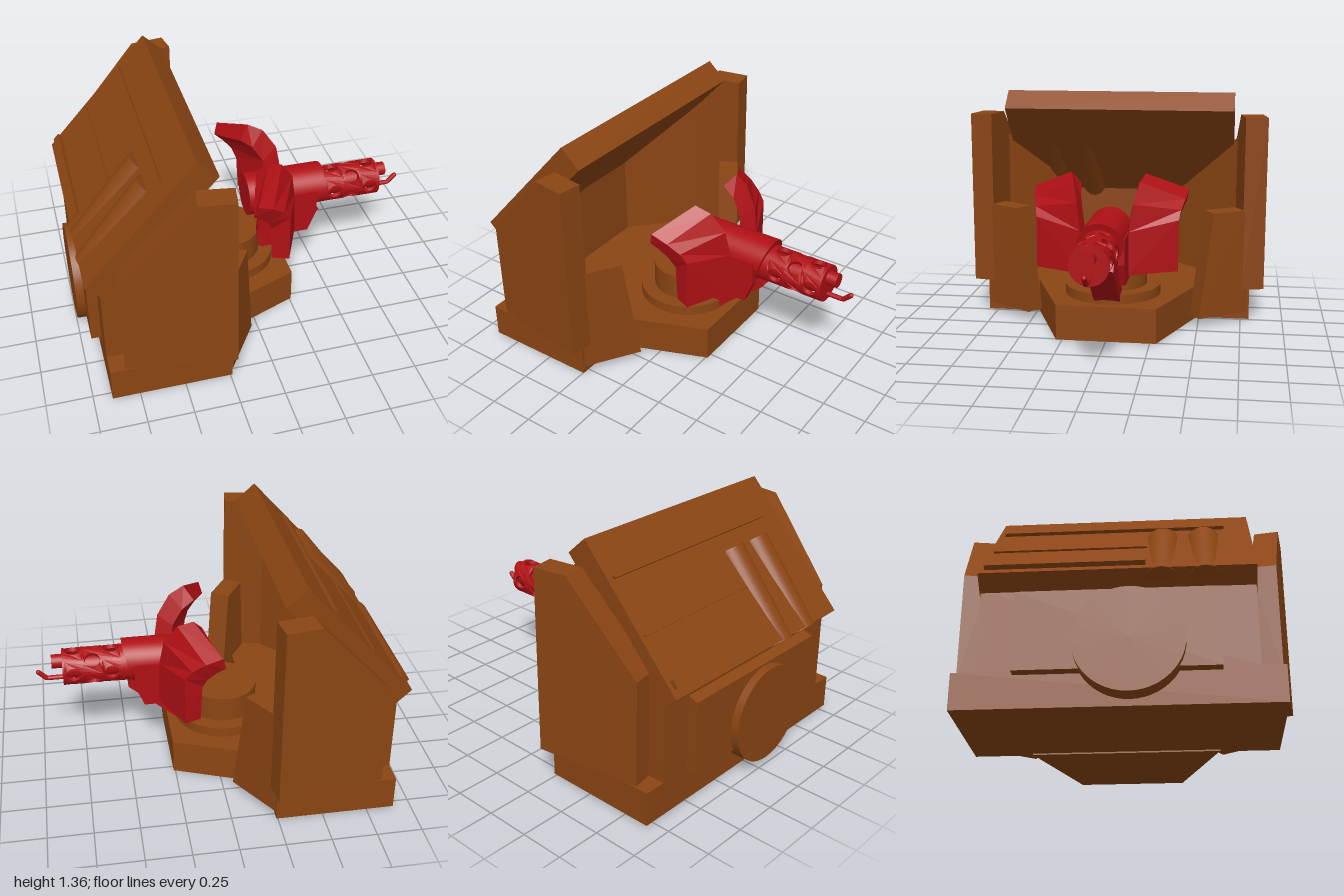
import * as THREE from 'three';
import { mergeGeometries } from 'three/addons/utils/BufferGeometryUtils.js';

const brown = new THREE.MeshStandardMaterial({ color: 0x8b4513 });
const red = new THREE.MeshStandardMaterial({ color: 0xb01015 });

// Flat-faced solid through rings of [x, y, z] corners, closed at both ends
function loft(rings) {
  const tris = [], n = rings[0].length, last = rings[rings.length - 1];
  for (let r = 0; r < rings.length - 1; r++) {
    for (let i = 0; i < n; i++) {
      const j = (i + 1) % n, a = rings[r], b = rings[r + 1];
      tris.push([a[i], a[j], b[j]], [a[i], b[j], b[i]]);
    }
  }
  for (let i = 1; i < n - 1; i++) {
    tris.push([rings[0][0], rings[0][i + 1], rings[0][i]], [last[0], last[i], last[i + 1]]);
  }
  // turn the faces outward if the enclosed volume is negative
  const v = (p) => new THREE.Vector3(...p);
  const c = v(rings[0][0]);
  const volume = tris.reduce((s, [p, q, k]) =>
    s + v(p).sub(c).dot(v(q).sub(c).cross(v(k).sub(c))), 0);
  if (volume < 0) tris.forEach((t) => t.reverse());
  const g = new THREE.BufferGeometry();
  g.setAttribute('position', new THREE.Float32BufferAttribute(tris.flat(2), 3));
  g.computeVertexNormals();
  return g;
}

const mirrorZ = (rings, s) => rings.map((r) => r.map(([x, y, z]) => [x, y, z * s]));
// Side profile (x, y) swept across z, and floor plan (x, z) raised in y
const sideways = (pts, z0, z1) => loft([z0, z1].map((z) => pts.map(([x, y]) => [x, y, z])));
const upright = (pts, y0, y1) => loft([y0, y1].map((y) => pts.map(([x, z]) => [x, y, z])));

// Cylinder along x
function rodX(r, x0, x1, y, z = 0, seg = 32) {
  return new THREE.CylinderGeometry(r, r, x1 - x0, seg).rotateZ(-Math.PI / 2)
    .translate((x0 + x1) / 2, y, z);
}

// Perforated sleeve: flat pierced cells bent around the x axis
function sleeve(radius, x0, x1, rows) {
  const cells = [], len = (x1 - x0) / rows, step = Math.PI / 2, w = radius * step, n = 8;
  for (let row = 0; row < rows; row++) {
    for (let k = 0; k < 4; k++) {
      const s = new THREE.Shape();
      s.moveTo(-len / 2, -w / 2);
      s.lineTo(len / 2, -w / 2);
      for (let i = 1; i <= n; i++) s.lineTo(len / 2, -w / 2 + (w * i) / n);
      for (let i = 0; i < n; i++) s.lineTo(-len / 2, w / 2 - (w * i) / n);
      s.holes.push(new THREE.Path().absarc(0, 0, 0.042, 0, Math.PI * 2, true));
      const g = new THREE.ExtrudeGeometry(s, { depth: 0.022, bevelEnabled: false, curveSegments: 10 });
      const p = g.attributes.position;
      for (let i = 0; i < p.count; i++) {
        const a = p.getY(i) / radius + step * (k + (row % 2) / 2);
        const r = radius - 0.022 + p.getZ(i);
        p.setXYZ(i, p.getX(i) + x0 + len * (row + 0.5), r * Math.sin(a), r * Math.cos(a));
      }
      g.computeVertexNormals();
      cells.push(g);
    }
  }
  return mergeGeometries(cells);
}

export function createModel() {
  const model = new THREE.Group();
  model.name = 'gunEmplacement';
  const add = (name, geo, mat = brown, parent = model) => {
    const m = new THREE.Mesh(geo, mat);
    m.name = name;
    parent.add(m);
    return m;
  };

  // Floor with tapered nose
  add('floorSlab', upright([[-0.9, -0.8], [-0.24, -0.8], [-0.24, 0.8], [-0.9, 0.8]], 0.008, 0.2));
  add('floorNose', upright([[-0.27, -0.49], [0.26, -0.285], [0.26, 0.285], [-0.27, 0.49]], 0, 0.203));

  // Rear wall with raised plate and round drum
  add('rearWall', sideways([[-0.9, 0.2], [-0.79, 0.2], [-0.79, 0.7], [-0.9, 0.64]], -0.68, 0.68));
  add('rearPlate', sideways([[-0.955, 0.18], [-0.9, 0.18], [-0.9, 0.62], [-0.955, 0.6]], -0.5, 0.5));
  add('rearDrum', rodX(0.273, -1, -0.9, 0.315, 0.06, 48));

  // Sloping roof
  add('roof', sideways([[-0.975, 0.7], [-0.38, 1.355], [-0.27, 1.255], [-0.87, 0.6]], -0.685, 0.685));

  // Roof fittings, placed in a frame lying on the slope (local x runs uphill)
  const slope = new THREE.Group();
  slope.name = 'roofFittings';
  slope.position.set(-0.975, 0.7, 0);
  slope.rotation.z = Math.atan2(0.655, 0.595);
  model.add(slope);
  const strip = (name, u, w, h, z0, z1) =>
    add(name, new THREE.BoxGeometry(w, h * 2, z1 - z0).translate(u, 0, (z0 + z1) / 2), brown, slope);
  strip('lowerRail', 0.07, 0.045, 0.025, -0.66, 0.14);
  strip('middleRib', 0.34, 0.012, 0.01, -0.66, 0.14);
  strip('upperRib', 0.655, 0.016, 0.018, -0.65, 0.55);
  for (const z of [0.22, 0.435]) {
    const tube = add('roofTube', rodX(0.095, 0, 0.56, 0, 0), brown, slope);
    tube.position.set(0, -0.088, z);
    tube.rotation.z = 0.065;
  }

  for (const s of [1, -1]) {
    const side = s > 0 ? 'left' : 'right';

    // Side wall, splayed outward to the front
    const profile = [[-0.8, 0.2], [-0.21, 0.2], [-0.21, 1.225], [-0.4, 1.225], [-0.8, 0.78]];
    const wall = [0, 0.13].map((t) => profile.map(([x, y]) =>
      [x - t * 0.158, y, 0.66 + t + (x + 0.8) * 0.158]));
    add(side + 'SideWall', loft(mirrorZ(wall, s)));

    // Inner corner filler up to the roof
    const corner = [
      [[-0.45, 0.2, 0.705], [-0.8, 0.2, 0.32], [-0.8, 0.2, 0.66]],
      [[-0.45, 1.08, 0.705], [-0.8, 0.7, 0.32], [-0.8, 0.7, 0.66]],
    ];
    add(side + 'CornerFiller', loft(mirrorZ(corner, s)));

    // Angled front wing, wider at the foot
    const wing = [
      [[-0.05, 0.055, 0.51], [-0.235, 0.055, 0.795], [-0.335, 0.055, 0.735], [-0.15, 0.055, 0.45]],
      [[-0.1, 0.68, 0.585], [-0.21, 0.68, 0.76], [-0.31, 0.68, 0.7], [-0.2, 0.68, 0.525]],
    ];
    add(side + 'FrontWing', loft(mirrorZ(wing, s)));

    // Curved gun shield: front inner, front outer, back outer, back inner corners
    const shield = [
      [[0.32, 0.41, 0.135], [0.2, 0.41, 0.4], [0.11, 0.41, 0.365], [0.225, 0.41, 0.115]],
      [[0.31, 0.65, 0.135], [0.2, 0.7, 0.4], [0.1, 0.62, 0.365], [0.21, 0.6, 0.115]],
      [[0.285, 0.8, 0.155], [0.16, 0.75, 0.41], [0.075, 0.68, 0.39], [0.2, 0.73, 0.135]],
      [[0.21, 0.91, 0.185], [0.09, 0.8, 0.43], [0.03, 0.73, 0.41], [0.14, 0.82, 0.155]],
      [[0.125, 0.947, 0.21], [0, 0.84, 0.445], [-0.02, 0.77, 0.43], [0.07, 0.875, 0.16]],
    ];
    add(side + 'GunShield', loft(mirrorZ(shield, s)), red);

    // Cheek plate joining shield and gun
    add(side + 'CheekPlate', sideways([[0.09, 0.375], [0.4, 0.375], [0.45, 0.5], [0.45, 0.64], [0.11, 0.64]],
      s * 0.095, s * 0.13), red);
  }

  // Turntable
  add('turntableDisc', new THREE.CylinderGeometry(0.28, 0.28, 0.06, 48).translate(-0.07, 0.23, 0));
  add('turntableDrum', new THREE.CylinderGeometry(0.2, 0.2, 0.21, 48).translate(-0.07, 0.305, 0));

  // Support arm
  add('supportArm', sideways([[0.12, 0.27], [0.2, 0.22], [0.485, 0.47], [0.43, 0.58], [0.36, 0.55]],
    -0.075, 0.075), red);

  // Gun housing with raked front end
  const housing = rodX(0.125, 0.05, 0.48, 0.612, 0, 40);
  const hp = housing.attributes.position;
  for (let i = 0; i < hp.count; i++) {
    if (hp.getX(i) > 0.3) hp.setX(i, hp.getX(i) + (hp.getY(i) - 0.612) * 0.25);
  }
  housing.computeVertexNormals();
  add('gunHousing', housing, red);

  // Barrel: pierced sleeve around a core, end cap, muzzle and bent rod
  add('barrelSleeve', sleeve(0.105, 0.52, 0.842, 3).translate(0, 0.597, 0), red);
  add('barrelCollar', rodX(0.105, 0.44, 0.522, 0.597), red);
  add('barrelCore', rodX(0.068, 0.5, 0.84, 0.597), red);
  add('barrelCap', rodX(0.105, 0.838, 0.85, 0.597), red);
  add('muzzle', rodX(0.04, 0.85, 0.91, 0.637, 0, 24), red);
  const path = new THREE.CurvePath();
  const bend = [[0.84, 0.53], [0.945, 0.53], [0.99, 0.575]].map(([x, y]) => new THREE.Vector3(x, y, 0));
  path.add(new THREE.LineCurve3(bend[0], bend[1]));
  path.add(new THREE.LineCurve3(bend[1], bend[2]));
  add('bentRod', new THREE.TubeGeometry(path, 16, 0.014, 10), red);
  add('rodTip', new THREE.SphereGeometry(0.014, 10, 8).translate(0.988, 0.573, 0), red);

  return model;
}
